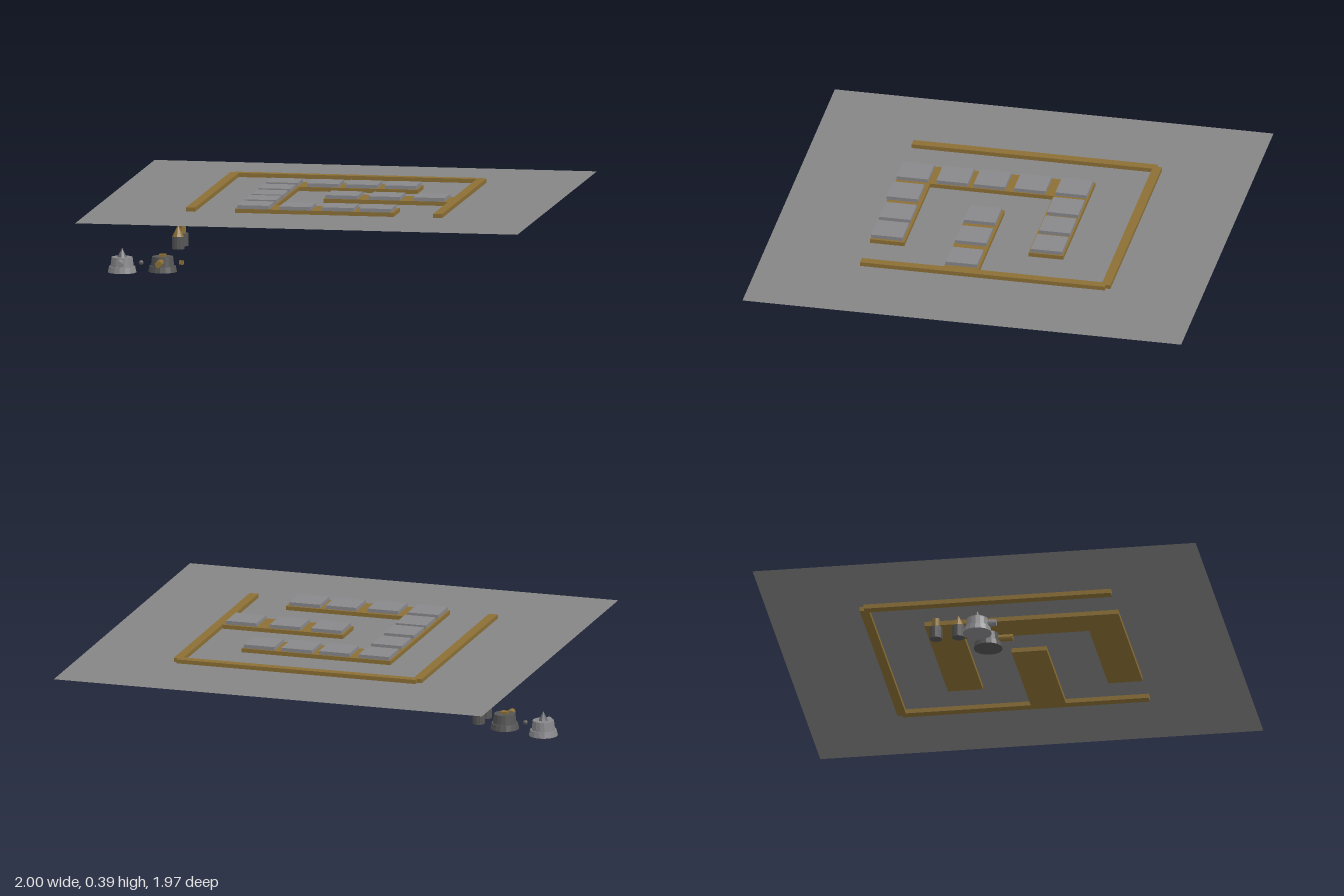
import * as THREE from 'three';

const mat = (name, color, extra = {}) => {
  const m = new THREE.MeshStandardMaterial({ color, ...extra });
  m.name = name;
  return m;
};

export function createModel() {
  const ground = mat('ground grey', 0x858585, { side: THREE.DoubleSide });
  const stone = mat('stone grey', 0x88888c, { flatShading: true });
  const brown = mat('earth brown', 0x8b6f35, { flatShading: true });
  const dark = mat('dark grey', 0x555555, { flatShading: true });
  const spike = mat('spike grey', 0x66666c, { flatShading: true });

  const root = new THREE.Group();
  root.name = 'towerBoard';

  const add = (parent, name, geo, material, x, y, z) => {
    const mesh = new THREE.Mesh(geo, material);
    mesh.name = name;
    mesh.position.set(x, y, z);
    parent.add(mesh);
    return mesh;
  };
  // Box given by its limits
  const slab = (name, material, x0, x1, y0, y1, z0, z1) =>
    add(root, name, new THREE.BoxGeometry(x1 - x0, y1 - y0, z1 - z0), material,
      (x0 + x1) / 2, (y0 + y1) / 2, (z0 + z1) / 2);
  // Upright cylinder given by its bottom and top
  const column = (parent, name, material, rTop, rBottom, y0, y1, sides = 16) =>
    add(parent, name, new THREE.CylinderGeometry(rTop, rBottom, y1 - y0, sides), material,
      0, (y0 + y1) / 2, 0);

  // Thin ground sheet
  const sheet = new THREE.PlaneGeometry(1.97, 1.965).rotateX(-Math.PI / 2);
  add(root, 'groundSheet', sheet, ground, 0.015, 0.354, -0.003);

  // Border walls and path slabs: x0, x1, z0, z1
  const B = 0.334, T = 0.372;
  [
    ['leftWall', 0.545, 0.585, -0.556, 0.54],
    ['rightWall', -0.556, -0.515, -0.556, 0.54],
    ['backWall', -0.535, 0.566, -0.577, -0.537],
    ['backPath', -0.337, 0.348, -0.32, -0.165],
    ['sidePath', -0.337, -0.18, -0.165, 0.387],
    ['frontPath', -0.337, 0.37, 0.387, 0.54],
    ['middlePath', -0.01, 0.545, 0.017, 0.172],
  ].forEach(([name, x0, x1, z0, z1]) => slab(name, brown, x0, x1, B, T, z0, z1));

  // Raised square tiles along the paths
  const tile = (x, z) => slab('tile', stone, x - 0.07, x + 0.07, T, 0.388, z - 0.07, z + 0.07);
  [-0.257, -0.075, 0.097, 0.27].forEach((x) => tile(x, -0.243));
  [-0.058, 0.123, 0.29].forEach((z) => tile(-0.257, z));
  [-0.257, -0.07, 0.12, 0.287].forEach((x) => tile(x, x === -0.07 ? 0.474 : 0.468));
  [0.07, 0.26, 0.46].forEach((x) => tile(x, 0.098));

  // Round towers with a forward barrel
  const tower = (name, x, y, z, body, barrelMat, length) => {
    const g = new THREE.Group();
    g.name = name;
    g.position.set(x, y, z);
    root.add(g);
    column(g, 'base', body, 0.058, 0.064, 0, 0.026);
    column(g, 'turret', body, 0.047, 0.052, 0.026, 0.067);
    const barrel = new THREE.CylinderGeometry(0.015, 0.015, length, 12).rotateX(Math.PI / 2);
    add(g, 'barrel', barrel, barrelMat, 0, 0.046, 0.03 + length / 2);
    return g;
  };
  const stoneTower = tower('stoneTower', -0.936, 0, 0.006, stone, stone, 0.055);
  column(stoneTower, 'spike', spike, 0, 0.021, 0.067, 0.108, 8);
  const darkTower = tower('darkTower', -0.752, 0.01, 0.026, dark, brown, 0.08);
  slab('towerCap', brown, -0.767, -0.738, 0.077, 0.087, 0.012, 0.04);

  // Loose shots beside the towers
  add(root, 'ball', new THREE.SphereGeometry(0.011, 12, 8), dark, -0.849, 0.046, 0.02);
  slab('bolt', brown, -0.675, -0.657, 0.045, 0.062, 0.027, 0.047);

  // Small floating posts, one pointed and one blunt
  [['pointedPost', -0.112, 0, 0.026], ['bluntPost', -0.212, 0.018, 0.018]].forEach(([name, z, rTop, rBottom]) => {
    const post = new THREE.Group();
    post.name = name;
    post.position.set(-0.708, 0, z);
    root.add(post);
    column(post, 'shaft', dark, 0.028, 0.028, 0.092, 0.147, 12);
    column(post, 'tip', brown, rTop, rBottom, 0.147, rTop ? 0.188 : 0.2, 8);
  });

  return root;
}
